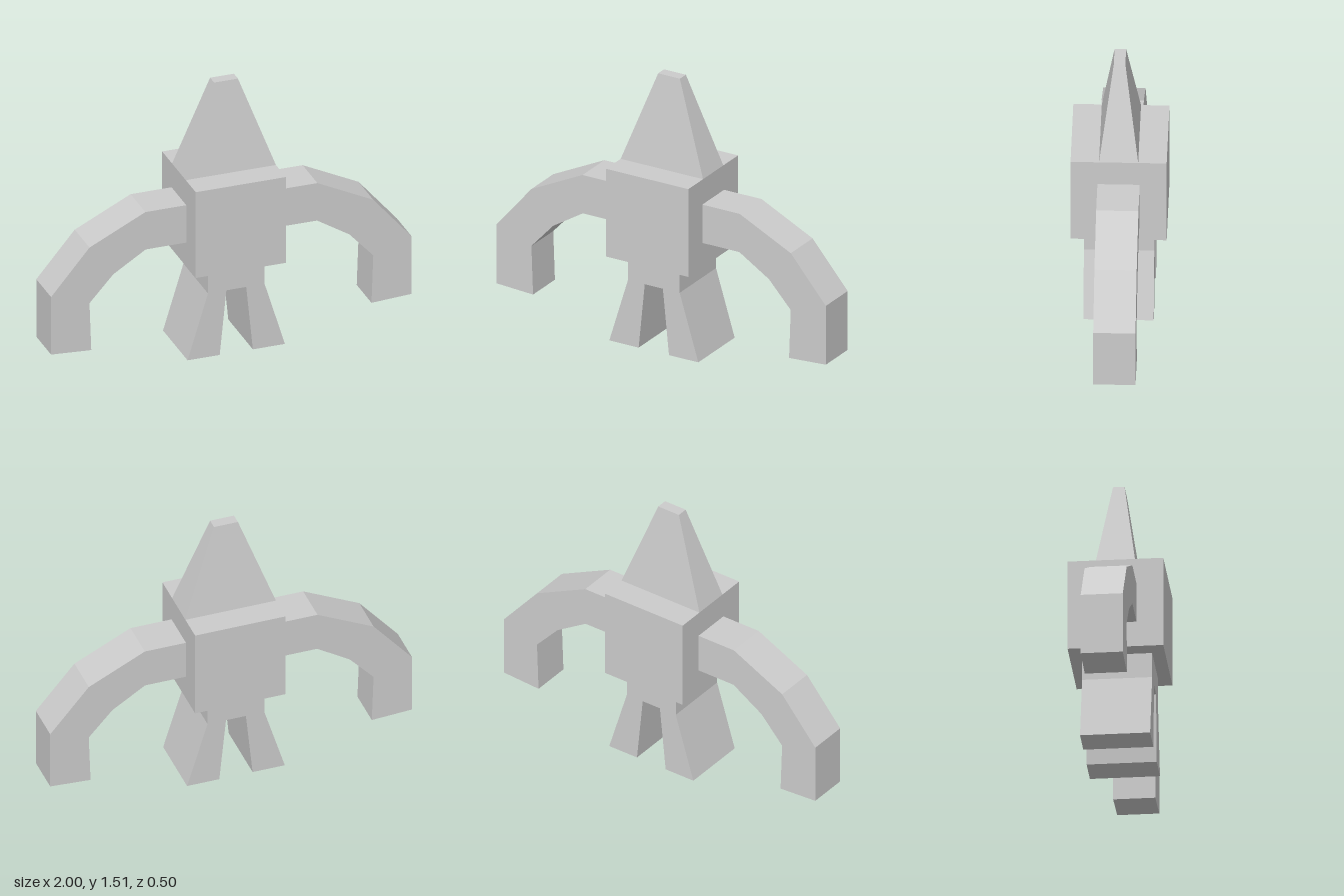
import * as THREE from 'three';

const material = new THREE.MeshStandardMaterial({ color: 0xcccccc, flatShading: true });

function addMesh(group, name, geometry) {
  const mesh = new THREE.Mesh(geometry, material);
  mesh.name = name;
  group.add(mesh);
  return mesh;
}

// Front outline extruded to a given depth, centred on z = 0
function slab(points, depth) {
  const shape = new THREE.Shape(points.map(([x, y]) => new THREE.Vector2(x, y)));
  return new THREE.ExtrudeGeometry(shape, { depth, bevelEnabled: false }).translate(0, 0, -depth / 2);
}

const mirror = (points) => points.map(([x, y]) => [-x, y]).reverse();

export function createModel() {
  const model = new THREE.Group();
  model.name = 'model';

  // Central block
  addMesh(model, 'body', new THREE.BoxGeometry(0.5, 0.5, 0.5).translate(0, 0.758, 0));

  // Tapered head: a box whose top corners are drawn inwards
  const head = new THREE.BoxGeometry(0.5, 0.502, 0.204);
  const pos = head.attributes.position;
  for (let i = 0; i < pos.count; i++) {
    if (pos.getY(i) > 0) {
      pos.setX(i, Math.sign(pos.getX(i)) * 0.066);
      pos.setZ(i, Math.sign(pos.getZ(i)) * 0.03);
    }
  }
  head.computeVertexNormals();
  addMesh(model, 'head', head.translate(0, 1.259, 0));

  // Curved arms, bending outwards and down
  const arm = [
    [0.25, 0.648], [0.475, 0.648], [0.655, 0.535], [0.787, 0.39], [0.777, 0.115],
    [1, 0.128], [1, 0.463], [0.787, 0.714], [0.477, 0.866], [0.25, 0.866],
  ];
  addMesh(model, 'leftArm', slab(arm, 0.22));
  addMesh(model, 'rightArm', slab(mirror(arm), 0.22));

  // Hips and two splayed legs in one outline
  const leg = [[0.055, 0.37], [0.092, 0], [0.27, 0], [0.157, 0.37], [0.157, 0.508]];
  addMesh(model, 'legs', slab([...leg, ...mirror(leg)], 0.366));

  return model;
}
